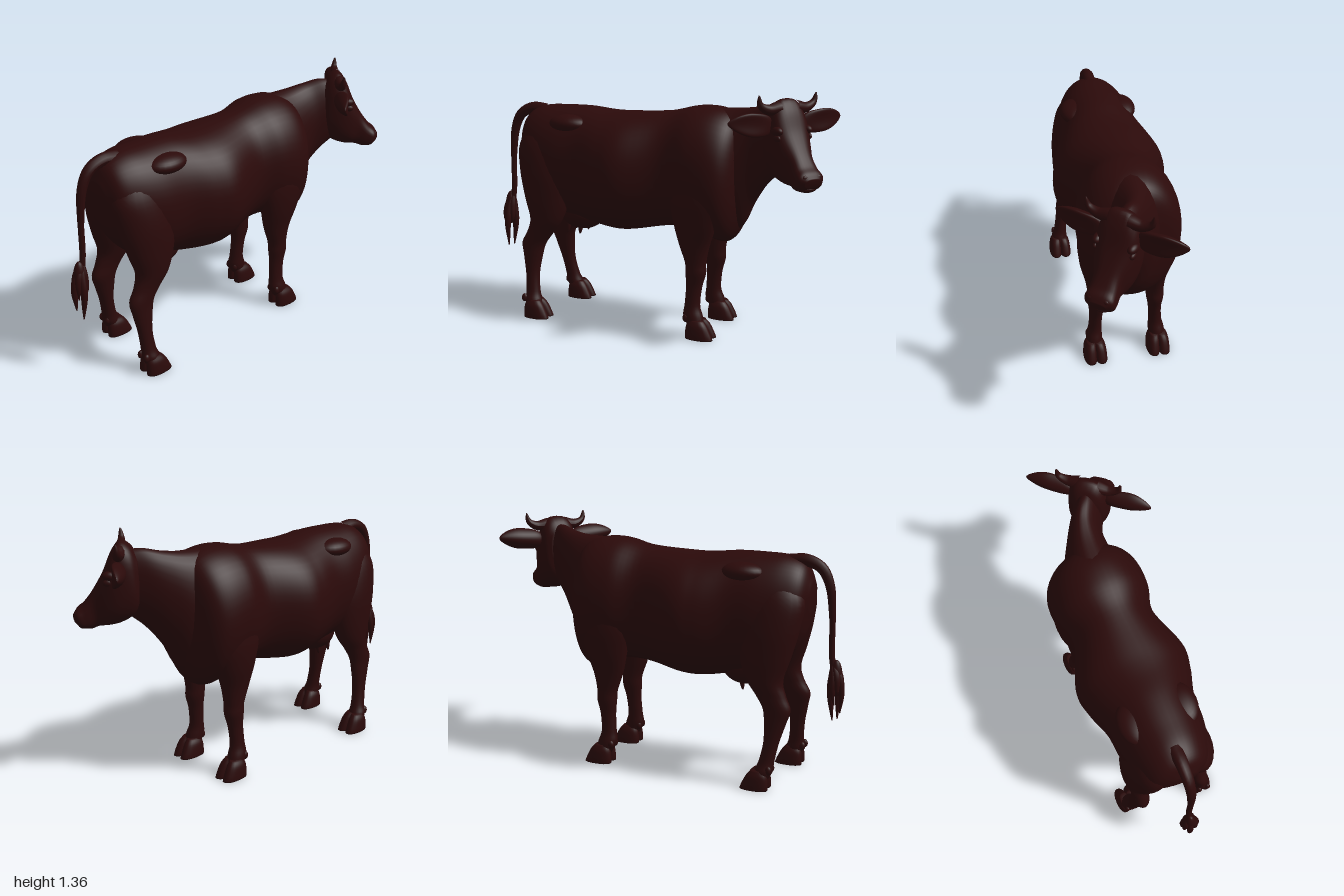
import * as THREE from 'three';

const CX = -0.05; // body midline
const hide = new THREE.MeshStandardMaterial({ color: 0x2b0a0a });
hide.name = 'dark brown hide';

function add(parent, name, geometry) {
  const mesh = new THREE.Mesh(geometry, hide);
  mesh.name = name;
  parent.add(mesh);
  return mesh;
}

// Smooth skin over rings; each ring is [zA, yA, zB, yB, halfWidth, centreX]
// where A and B are opposite ends of the ring in the side plane.
function loft(rings, steps = 6, sides = 32, power = 2) {
  const a = new THREE.CatmullRomCurve3(rings.map(r => new THREE.Vector3(r[5] ?? 0, r[1], r[0])), false, 'catmullrom', 0.5);
  const b = new THREE.CatmullRomCurve3(rings.map(r => new THREE.Vector3(r[4], r[3], r[2])), false, 'catmullrom', 0.5);
  const n = (rings.length - 1) * steps;
  const pos = [], idx = [];
  const bend = v => Math.sign(v) * Math.abs(v) ** (2 / power);
  for (let i = 0; i <= n; i++) {
    const p = a.getPoint(i / n), q = b.getPoint(i / n);
    for (let j = 0; j < sides; j++) {
      const t = j / sides * Math.PI * 2, s = bend(Math.sin(t)), c = bend(Math.cos(t));
      pos.push(p.x + q.x * c, (p.y + q.y) / 2 + (p.y - q.y) / 2 * s, (p.z + q.z) / 2 + (p.z - q.z) / 2 * s);
      if (i < n) {
        const k = i * sides, l = (j + 1) % sides;
        idx.push(k + j, k + l, k + sides + j, k + l, k + sides + l, k + sides + j);
      }
    }
  }
  // closed ends
  for (const i of [0, n]) {
    const p = a.getPoint(i / n), q = b.getPoint(i / n), m = pos.length / 3, k = i * sides;
    pos.push(p.x, (p.y + q.y) / 2, (p.z + q.z) / 2);
    for (let j = 0; j < sides; j++) {
      const l = (j + 1) % sides;
      if (i) idx.push(k + j, k + l, m); else idx.push(k + l, k + j, m);
    }
  }
  // turn the faces outward
  const v = i => new THREE.Vector3().fromArray(pos, i * 3);
  let volume = 0;
  for (let i = 0; i < idx.length; i += 3) volume += v(idx[i]).dot(v(idx[i + 1]).cross(v(idx[i + 2])));
  if (volume < 0) idx.reverse();
  const g = new THREE.BufferGeometry();
  g.setAttribute('position', new THREE.Float32BufferAttribute(pos, 3));
  g.setIndex(idx);
  g.computeVertexNormals();
  return g;
}

// Tube whose radius follows radius(t) along the points
function taperTube(points, radius, segments = 24) {
  const curve = new THREE.CatmullRomCurve3(points.map(p => new THREE.Vector3(...p)));
  const g = new THREE.TubeGeometry(curve, segments, 1, 12);
  const p = g.attributes.position, v = new THREE.Vector3();
  for (let i = 0; i < p.count; i++) {
    const t = Math.floor(i / 13) / segments, c = curve.getPointAt(t);
    v.fromBufferAttribute(p, i).sub(c).multiplyScalar(radius(t)).add(c);
    p.setXYZ(i, v.x, v.y, v.z);
  }
  g.computeVertexNormals();
  return g;
}

function blob(parent, name, [x, y, z], [rx, ry, rz]) {
  const mesh = add(parent, name, new THREE.SphereGeometry(1, 24, 16).scale(rx, ry, rz));
  mesh.position.set(x, y, z);
  return mesh;
}

// Leg rings: [y, zBack, zFront, offset from midline, halfWidth]
const HIND = [
  [1.12, 0.72, 0.56, 0.09, 0.06], [1.0, 0.795, 0.48, 0.11, 0.105], [0.85, 0.782, 0.45, 0.138, 0.108],
  [0.7, 0.745, 0.47, 0.157, 0.092], [0.58, 0.71, 0.51, 0.168, 0.072], [0.5, 0.73, 0.565, 0.172, 0.052],
  [0.43, 0.765, 0.615, 0.175, 0.046], [0.36, 0.755, 0.635, 0.182, 0.041], [0.25, 0.735, 0.652, 0.195, 0.036],
  [0.15, 0.728, 0.645, 0.208, 0.038], [0.1, 0.73, 0.63, 0.216, 0.048], [0.06, 0.715, 0.62, 0.218, 0.048],
];
const FORE = [
  [1.0, -0.2, -0.42, 0.17, 0.07], [0.8, -0.16, -0.47, 0.18, 0.085], [0.65, -0.18, -0.43, 0.175, 0.08],
  [0.52, -0.21, -0.385, 0.165, 0.06], [0.42, -0.245, -0.365, 0.163, 0.05], [0.36, -0.25, -0.365, 0.165, 0.048],
  [0.28, -0.255, -0.345, 0.168, 0.037], [0.18, -0.25, -0.337, 0.174, 0.037], [0.12, -0.245, -0.355, 0.18, 0.045],
  [0.06, -0.275, -0.37, 0.183, 0.046],
];

// step moves the foot along z, fading out toward the hock
function leg(name, rings, side, heel, toe, step = 0) {
  const g = new THREE.Group();
  g.name = name;
  const swing = y => step * Math.max(0, 1 - y / 0.5);
  add(g, 'limb', loft(rings.map(([y, zb, zf, d, w]) => [zb + swing(y), y, zf + swing(y), y, w, CX + side * d]), 5, 24));
  const x = CX + side * rings.at(-1)[3], h = heel + step, t = toe + step;
  for (const s of [-1, 1]) {
    // cloven hoof and dewclaw
    add(g, 'hoof', loft([
      [h - 0.02, 0.105, t + 0.06, 0.105, 0.024, x + s * 0.02],
      [h - 0.005, 0.075, t + 0.035, 0.075, 0.033, x + s * 0.026],
      [h, 0.035, t + 0.012, 0.03, 0.036, x + s * 0.029],
      [h, 0, t, 0, 0.036, x + s * 0.03],
    ], 4, 20, 2.3));
    blob(g, 'dewclaw', [x + s * 0.026, 0.11, h], [0.015, 0.024, 0.018]);
  }
  return g;
}

function makeHead() {
  const head = new THREE.Group();
  head.name = 'head';
  add(head, 'skull', loft([
    [0.09, 1.25, 0.1, 1.06, 0.06], [0.05, 1.31, 0.09, 1.0, 0.092], [0, 1.33, 0.06, 0.95, 0.108],
    [-0.045, 1.275, 0.0, 0.915, 0.112], [-0.09, 1.17, -0.06, 0.9, 0.098], [-0.145, 1.075, -0.11, 0.895, 0.074],
    [-0.19, 1.015, -0.155, 0.882, 0.076], [-0.225, 0.985, -0.2, 0.888, 0.077], [-0.245, 0.955, -0.23, 0.91, 0.045],
  ], 6, 32, 2.7));
  for (const s of [-1, 1]) {
    const side = s > 0 ? 'left' : 'right';
    add(head, side + 'Horn', taperTube(
      [[s * 0.05, 1.285, 0], [s * 0.115, 1.28, 0], [s * 0.163, 1.305, 0], [s * 0.176, 1.355, -0.005]],
      t => 0.035 * (1 - t) ** 0.7 + 0.002));
    // leaf-shaped ear, cupped toward the front and pointed at the tip
    const ear = new THREE.SphereGeometry(1, 28, 20), p = ear.attributes.position;
    for (let i = 0; i < p.count; i++) {
      const u = p.getX(i) * s, y = p.getY(i), k = 1 - 0.35 * u * u * Math.sign(u);
      p.setXYZ(i, p.getX(i) * 0.135, y * 0.06 * k + 0.012 * u, p.getZ(i) * 0.032 * k - 0.025 * y * y);
    }
    ear.computeVertexNormals();
    add(head, side + 'Ear', ear).position.set(s * 0.214, 1.21, 0.01);
    blob(head, side + 'Eye', [s * 0.096, 1.14, -0.055], [0.014, 0.018, 0.026]);
    blob(head, side + 'BrowRidge', [s * 0.09, 1.175, -0.045], [0.025, 0.024, 0.04]);
    blob(head, side + 'Nostril', [s * 0.04, 0.962, -0.222], [0.02, 0.016, 0.014]);
  }
  blob(head, 'lowerLip', [0, 0.9, -0.19], [0.052, 0.02, 0.035]);
  // turned toward the left
  head.position.set(0.095, 0, -0.785);
  head.rotation.y = -0.68;
  return head;
}

export function createModel() {
  const cow = new THREE.Group();
  cow.name = 'cow';

  add(cow, 'body', loft([
    [0.815, 1.08, 0.805, 0.93, 0.07], [0.77, 1.17, 0.765, 0.78, 0.152], [0.68, 1.212, 0.68, 0.66, 0.202],
    [0.55, 1.22, 0.55, 0.59, 0.236], [0.4, 1.22, 0.4, 0.56, 0.25], [0.25, 1.205, 0.25, 0.535, 0.298],
    [0.12, 1.205, 0.12, 0.535, 0.312], [-0.1, 1.22, -0.1, 0.575, 0.235], [-0.26, 1.255, -0.26, 0.575, 0.27],
    [-0.4, 1.25, -0.4, 0.52, 0.27], [-0.49, 1.2, -0.475, 0.54, 0.22], [-0.535, 1.08, -0.545, 0.67, 0.09],
  ].map(r => [...r, CX]), 6, 48, 2.1));

  add(cow, 'neck', loft([
    [-0.34, 1.25, -0.38, 0.62, 0.19, CX], [-0.5, 1.255, -0.51, 0.6, 0.145, -0.035],
    [-0.61, 1.27, -0.595, 0.75, 0.108, -0.01], [-0.7, 1.29, -0.67, 0.86, 0.095, 0.035],
    [-0.78, 1.28, -0.75, 0.94, 0.08, 0.085],
  ]));
  cow.add(makeHead());

  for (const s of [-1, 1]) {
    const side = s > 0 ? 'left' : 'right';
    // the right hind foot stands a little further forward
    cow.add(leg(side + 'HindLeg', HIND, s, 0.725, 0.572, s > 0 ? 0 : -0.06));
    cow.add(leg(side + 'FrontLeg', FORE, s, -0.268, -0.425));
    blob(cow, side + 'HipBone', [CX + s * 0.13, 1.13, 0.47], [0.085, 0.052, 0.12]);
    // teats
    for (const z of [0.45, 0.53]) {
      add(cow, side + 'Teat', taperTube(
        [[CX + s * 0.05, 0.56, z], [CX + s * 0.053, 0.515, z], [CX + s * 0.055, 0.475, z + 0.005]],
        t => 0.02 * Math.sqrt(1.001 - t), 10));
    }
  }
  blob(cow, 'udder', [CX, 0.605, 0.455], [0.125, 0.105, 0.135]);

  // tail with a tuft of hanging strands
  add(cow, 'tail', taperTube([
    [CX, 1.18, 0.68], [CX, 1.19, 0.77], [CX, 1.155, 0.85], [CX, 1.07, 0.895],
    [CX, 0.9, 0.915], [CX, 0.7, 0.92], [CX, 0.58, 0.94],
  ], t => 0.038 - 0.022 * Math.min(1, t * 1.6), 40));
  blob(cow, 'tailTuft', [CX, 0.58, 0.945], [0.032, 0.1, 0.035]);
  for (let i = 0; i < 7; i++) {
    const a = i / 7 * Math.PI * 2, dx = Math.cos(a), dz = Math.sin(a), end = 0.35 + 0.045 * (i * 3 % 5);
    add(cow, 'tuftStrand', taperTube([
      [CX, 0.68, 0.925], [CX + dx * 0.025, 0.59, 0.945 + dz * 0.022],
      [CX + dx * 0.038, 0.51, 0.95 + dz * 0.03], [CX + dx * 0.025, end, 0.955 + dz * 0.02],
    ], t => 0.003 + 0.016 * Math.sin(Math.PI * t ** 0.9)));
  }
  return cow;
}
